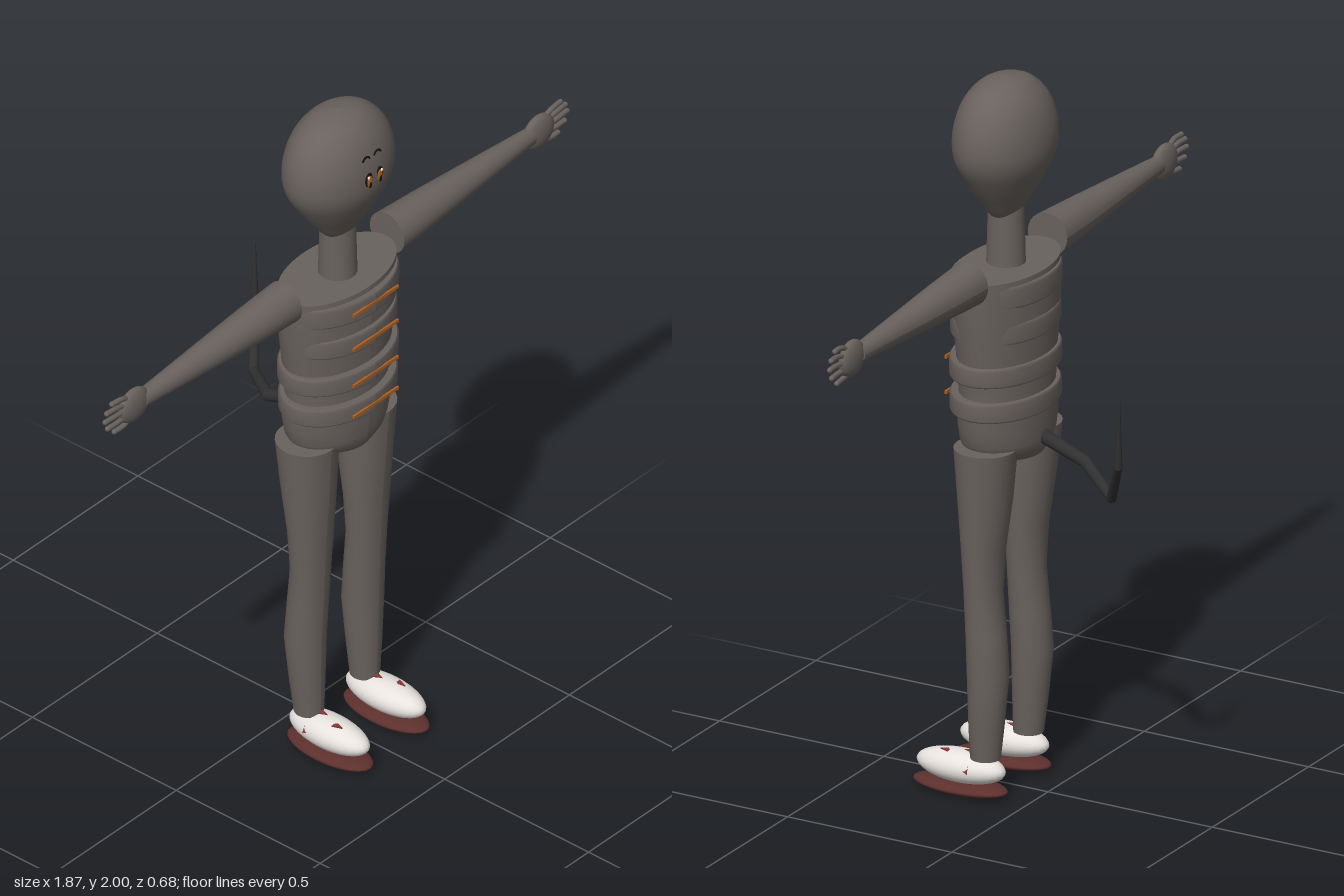
import * as THREE from 'three';

const mat = (name, color, side = THREE.FrontSide) => {
  const m = new THREE.MeshStandardMaterial({ color, side });
  m.name = name;
  return m;
};

export function createModel() {
  const body = mat('warm grey', 0x69625e);
  const tailMat = mat('charcoal', 0x303030);
  const white = mat('shoe white', 0xe9e4e0);
  const soleMat = mat('sole maroon', 0x5c302d);
  const spotMat = mat('spot red', 0x8c3535);
  const orange = mat('orange', 0xb0601e);
  const black = mat('black', 0x151515);
  const model = new THREE.Group();

  const add = (name, geo, material, pos = [0, 0, 0], scale = [1, 1, 1], parent = model) => {
    const m = new THREE.Mesh(geo, material);
    m.name = name;
    m.position.set(...pos);
    m.scale.set(...scale);
    parent.add(m);
    return m;
  };
  const lathe = (pts) => new THREE.LatheGeometry(pts.map(([r, y]) => new THREE.Vector2(r, y)), 40);
  const ball = new THREE.SphereGeometry(1, 28, 18);

  // Loft of elliptical rings [x, y, z, halfA, halfB] along y ('y') or x ('x'), with closed ends
  const loft = (rings, axis, n = 24) => {
    const pos = [], idx = [];
    const ring = ([x, y, z, a, b]) => {
      for (let i = 0; i <= n; i++) {
        const t = (i / n) * Math.PI * 2, c = Math.cos(t), s = Math.sin(t);
        if (axis === 'y') pos.push(x + a * s, y, z + b * c);
        else pos.push(x, y + a * s, z - b * c);
      }
    };
    const first = rings[0], last = rings[rings.length - 1];
    const cap = (r) => [r[0], r[1], r[2], 0, 0];
    const all = [cap(first), first, first, ...rings.slice(1, -1), last, last, cap(last)];
    all.forEach(ring);
    for (let j = 0; j < all.length - 1; j++) {
      if (j === 1 || j === all.length - 3) continue; // creases at the end caps
      for (let i = 0; i < n; i++) {
        const p = j * (n + 1) + i, q = p + n + 1;
        idx.push(p, p + 1, q, p + 1, q + 1, q);
      }
    }
    const g = new THREE.BufferGeometry();
    g.setAttribute('position', new THREE.Float32BufferAttribute(pos, 3));
    g.setIndex(idx);
    g.computeVertexNormals();
    return g;
  };

  // Egg-shaped head and neck
  const headCurve = new THREE.SplineCurve([
    [0.0, 1.6], [0.045, 1.61], [0.088, 1.66], [0.13, 1.715], [0.164, 1.77], [0.175, 1.82],
    [0.167, 1.88], [0.137, 1.94], [0.08, 1.985], [0, 2],
  ].map((p) => new THREE.Vector2(...p)));
  const headPts = headCurve.getPoints(40).map((p) => [Math.max(p.x, 0), p.y]);
  add('head', lathe(headPts), body, [0, 0, 0.13], [1, 1, 0.73]);
  add('neck', new THREE.CylinderGeometry(0.048, 0.053, 0.2, 24), body, [0, 1.54, 0.128]);

  // Eyes and brows
  for (const s of [-1, 1]) {
    const eye = new THREE.Group();
    eye.name = 'eye';
    eye.position.set(s * 0.02, 1.835, 0.256);
    model.add(eye);
    add('eyeRim', ball, black, [0, 0, -0.002], [0.016, 0.024, 0.004], eye);
    add('iris', ball, orange, [0, -0.003, 0.001], [0.01, 0.018, 0.004], eye);
    add('pupil', ball, black, [0, -0.012, 0.003], [0.005, 0.011, 0.004], eye);
    add('eyeGlint', ball, white, [s * 0.006, 0.012, 0.003], [0.004, 0.005, 0.003], eye);
    const brow = add('brow', new THREE.TorusGeometry(0.014, 0.003, 6, 12, Math.PI * 0.8),
      black, [s * 0.022, 1.892, 0.246]);
    brow.rotation.z = Math.PI * 0.1;
  }

  // Torso and pelvis
  add('torso', loft([
    [0, 1.06, 0.124, 0.172, 0.112], [0, 1.12, 0.124, 0.166, 0.112], [0, 1.2, 0.124, 0.174, 0.113],
    [0, 1.3, 0.125, 0.188, 0.118], [0, 1.4, 0.125, 0.197, 0.121], [0, 1.475, 0.125, 0.2, 0.115],
  ], 'y', 40), body);
  add('pelvis', loft([
    [0, 0.95, 0.122, 0.1, 0.095], [0, 0.975, 0.122, 0.15, 0.108], [0, 1.0, 0.122, 0.164, 0.112],
    [0, 1.04, 0.122, 0.172, 0.116], [0, 1.09, 0.122, 0.176, 0.117],
  ], 'y', 40), body);

  // Raised rib bands, each with a thin front stripe
  const bands = [[1.43, 0.062, 0.193, 0.132], [1.325, 0.056, 0.186, 0.13],
    [1.207, 0.054, 0.193, 0.131], [1.107, 0.054, 0.188, 0.131]];
  bands.forEach(([y, h, a, b], i) => {
    add('ribBand', loft([
      [0, -h / 2, 0, a * 0.97, b * 0.97], [0, -h * 0.38, 0, a, b],
      [0, h * 0.38, 0, a, b], [0, h / 2, 0, a * 0.97, b * 0.97],
    ], 'y', 40), body, [0, y, 0.129]);
    add('ribStripe', new THREE.BoxGeometry(0.18, 0.009, 0.006), orange, [0, y + (i ? 0 : 0.005), 0.26]);
  });

  for (const s of [-1, 1]) {
    const side = s < 0 ? 'right' : 'left';

    // Arm, palm and fanned fingers
    const armRings = [
      [0.205, 1.48, 0.122, 0.061, 0.06], [0.35, 1.48, 0.122, 0.053, 0.053],
      [0.5, 1.48, 0.122, 0.043, 0.043], [0.62, 1.48, 0.122, 0.036, 0.034],
      [0.78, 1.48, 0.122, 0.026, 0.022],
    ].map(([x, ...r]) => [s * x, ...r]);
    if (s < 0) armRings.reverse();
    add(side + 'Arm', loft(armRings, 'x'), body);
    add(side + 'Palm', ball, body, [s * 0.812, 1.478, 0.122], [0.058, 0.051, 0.022]);
    [[0.905, 1.526], [0.925, 1.506], [0.932, 1.482], [0.922, 1.456], [0.895, 1.432]].forEach(([x, y], i) => {
      const base = new THREE.Vector3(s * 0.835, 1.512 - i * 0.018, 0.122);
      const mid = new THREE.Vector3(s * (x - 0.04), y + (i - 2) * 0.001, 0.124);
      const path = new THREE.CatmullRomCurve3([base, mid, new THREE.Vector3(s * (x - 0.006), y, 0.122)]);
      add(side + 'Finger', new THREE.TubeGeometry(path, 8, 0.0075, 8), body);
      add(side + 'Fingertip', ball, body, [s * (x - 0.006), y, 0.122], [0.0075, 0.0075, 0.0075]);
    });

    // Leg with a slight bend at the knee
    add(side + 'Leg', loft([
      [0.112, 0.11, 0.125, 0.04, 0.041], [0.114, 0.22, 0.12, 0.049, 0.049],
      [0.115, 0.35, 0.115, 0.058, 0.056], [0.113, 0.46, 0.122, 0.058, 0.054],
      [0.112, 0.58, 0.131, 0.061, 0.05], [0.112, 0.7, 0.131, 0.07, 0.056],
      [0.113, 0.85, 0.125, 0.079, 0.073], [0.116, 0.99, 0.122, 0.086, 0.085],
    ].map(([x, ...r]) => [s * x, ...r]), 'y'), body);

    // Shoe, sole and red spots
    add(side + 'Shoe', ball, white, [s * 0.113, 0.075, 0.198], [0.056, 0.045, 0.132]);
    add(side + 'Sole', ball, soleMat, [s * 0.113, 0.02, 0.2], [0.063, 0.02, 0.14]);
    [[0.126, 0.117, 0.235, 0], [0.16, 0.087, 0.16, -1.1], [0.068, 0.09, 0.17, 1.1], [0.11, 0.12, 0.17, 0]]
      .forEach(([x, y, z, tilt]) => {
        const spot = add(side + 'ShoeSpot', new THREE.CylinderGeometry(0.016, 0.016, 0.008, 3),
          spotMat, [s * x, y - 0.003, z]);
        spot.rotation.z = s * tilt;
        spot.scale.set(0.8, 1, 1.2);
      });
  }

  // Tapering jointed tail
  const joints = [[0, 1.01, 0.03], [0, 0.955, -0.115], [0.1, 0.915, -0.252], [0.19, 1.045, -0.325],
    [0.205, 1.238, -0.338]].map((p) => new THREE.Vector3(...p));
  const radii = [0.02, 0.017, 0.014, 0.011, 0.002];
  for (let i = 0; i < 4; i++) {
    const dir = joints[i + 1].clone().sub(joints[i]);
    const seg = add('tailSegment', new THREE.CylinderGeometry(radii[i + 1], radii[i], dir.length(), 14), tailMat,
      joints[i].clone().add(joints[i + 1]).multiplyScalar(0.5).toArray());
    seg.quaternion.setFromUnitVectors(new THREE.Vector3(0, 1, 0), dir.normalize());
    if (i) add('tailJoint', ball, tailMat, joints[i].toArray(), [radii[i], radii[i], radii[i]]);
  }
  return model;
}
